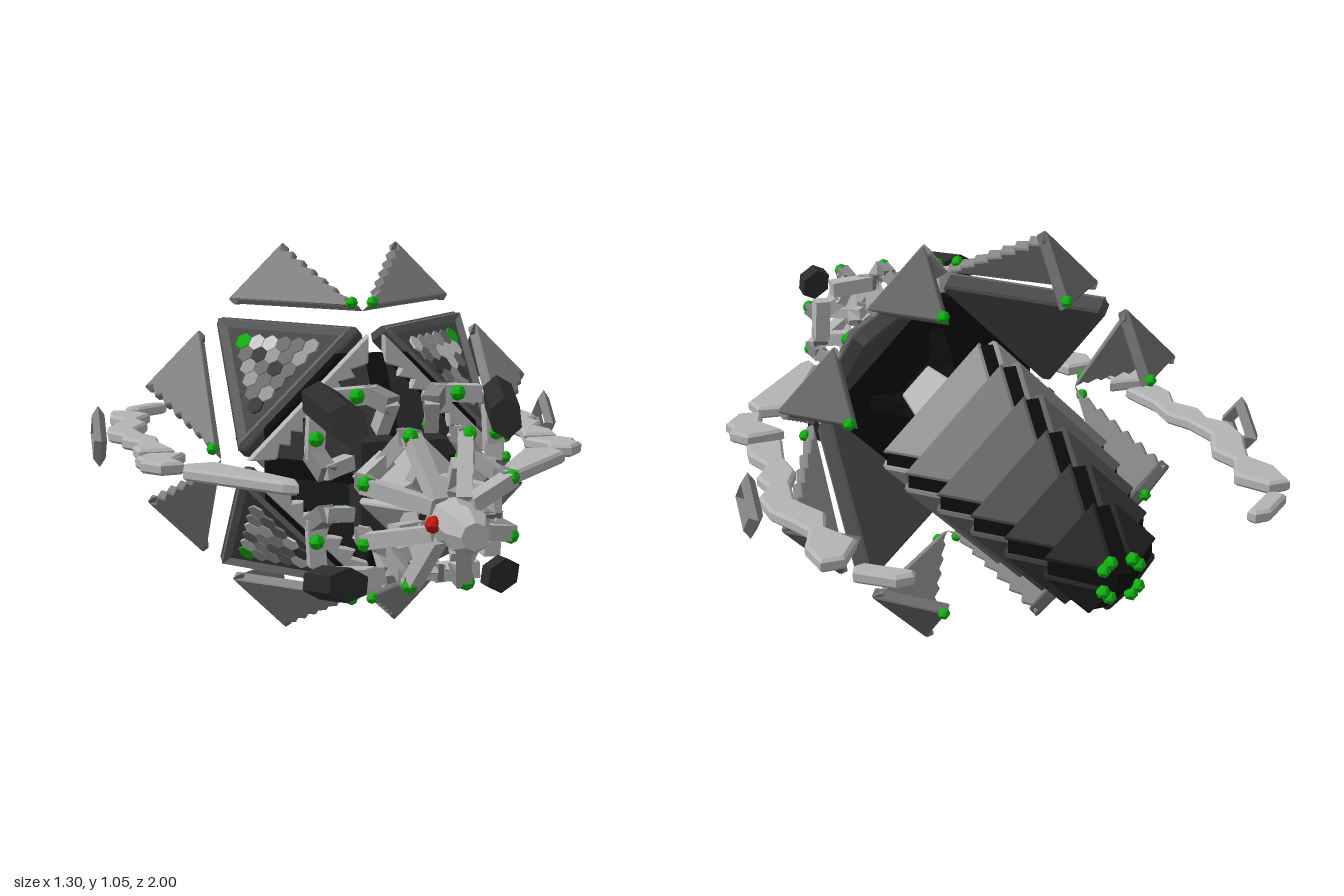
import * as THREE from 'three';

const LIGHT = 0xb4b4b4, MID = 0x858585, GREY = 0x666666, DARK = 0x2c2c2c, BLACK = 0x0c0c0c;
const GREEN = 0x10b010, BLUE = 0x10109a, RED = 0xc01515;
const V = (p) => new THREE.Vector3(...p);

export function createModel() {
  const model = new THREE.Group();
  const body = new THREE.Group();
  body.name = 'body';
  body.position.y = 0.53;
  model.add(body);

  const cache = {};
  const mat = (color) => (cache[color] ??= new THREE.MeshStandardMaterial({ color, flatShading: true, side: THREE.DoubleSide }));
  function add(name, geometry, color) {
    const m = new THREE.Mesh(geometry, mat(color));
    m.name = name;
    body.add(m);
    return m;
  }
  const box = (name, size, pos, color) => add(name, new THREE.BoxGeometry(...size), color).position.set(...pos);
  const bead = (name, p, r, color) => add(name, new THREE.OctahedronGeometry(r, 1), color).position.set(...p);

  // Bevelled slab from a flat polygon in space, thickened inward (or about its middle)
  function slab(name, pts, t, color, { bevel = 0.006, centred = false } = {}) {
    const p = pts.map(V), n = new THREE.Vector3(), c = new THREE.Vector3();
    p.forEach((a, i) => {
      n.add(new THREE.Vector3().crossVectors(a, p[(i + 1) % p.length]));
      c.addScaledVector(a, 1 / p.length);
    });
    n.normalize();
    if (n.x * c.x + n.y * c.y < 0) n.negate();
    const u = p[1].clone().sub(p[0]);
    u.addScaledVector(n, -u.dot(n)).normalize();
    const w = new THREE.Vector3().crossVectors(n, u);
    const shape = new THREE.Shape(p.map((a) => {
      const d = a.clone().sub(c);
      return new THREE.Vector2(d.dot(u), d.dot(w));
    }));
    const g = new THREE.ExtrudeGeometry(shape, {
      depth: t - 2 * bevel, bevelEnabled: true, bevelSize: bevel, bevelThickness: bevel, bevelOffset: -bevel, bevelSegments: 1,
    });
    g.translate(0, 0, bevel - (centred ? t / 2 : t));
    g.applyMatrix4(new THREE.Matrix4().makeBasis(u, w, n).setPosition(c));
    add(name, g, color);
  }

  // Square bar between two points
  function bar(name, a, b, w, color) {
    const A = V(a), B = V(b);
    const m = add(name, new THREE.BoxGeometry(w, w, A.distanceTo(B) + w * 0.5), color);
    m.position.copy(A).lerp(B, 0.5);
    m.quaternion.setFromRotationMatrix(new THREE.Matrix4().lookAt(B, A, new THREE.Vector3(0, 1, 0)));
  }

  // Stepped edge from a to b, cut toward c
  function steps(a, b, c, n, depth) {
    const A = V(a), B = V(b), C = V(c), out = [];
    for (let i = 0; i < n; i++) {
      const q = A.clone().lerp(B, i / n), e = A.clone().lerp(B, (i + 0.6) / n);
      const inward = C.clone().sub(e).setLength(depth);
      out.push(q.toArray(), e.clone().add(inward).toArray());
    }
    out.push(b);
    return out;
  }

  let seed = 7;
  const rand = () => (seed = (seed * 16807) % 2147483647) / 2147483647;

  // Tail rows: [front z, reach from the axis]
  const rows = [[-0.235, 0.27], [-0.375, 0.265], [-0.51, 0.235], [-0.64, 0.205], [-0.765, 0.175], [-0.885, 0.135]];
  const rowColors = [0x999999, 0x7c7c7c, 0x666666, 0x505050, 0x383838, 0x262626];
  const nextZ = (i) => (i < rows.length - 1 ? rows[i + 1][0] : -1);

  for (const sx of [1, -1]) for (const sy of [1, -1]) {
    const q = (p) => [p[0] * sx, p[1] * sy, p[2]];
    const qs = (l) => l.map(q);

    // Triangular armour panel with hexagonal tiles and a raised rim
    const [p1, p2, p3] = qs([[0.02, 0.335, 0.115], [0.335, 0.02, 0.115], [0.335, 0.335, -0.235]]).map(V);
    const n = p2.clone().sub(p1).cross(p3.clone().sub(p1)).normalize();
    if (n.z < 0) n.negate();
    const u = p2.clone().sub(p1).normalize(), w = u.clone().cross(n);
    const mid = p1.clone().add(p2).add(p3).divideScalar(3);
    const cut = [];
    [p1, p2, p3].forEach((p, i, l) => {
      const next = l[(i + 1) % 3];
      cut.push(p.clone().lerp(l[(i + 2) % 3], 0.05).toArray(), p.clone().lerp(next, 0.05).toArray());
      const [a, b] = [p, next].map((v) => v.clone().lerp(mid, 0.14).addScaledVector(n, -0.006).toArray());
      bar('panelRim', a, b, 0.026, GREY);
    });
    slab('armourPanel', cut, 0.045, 0x484848);
    const N = 11;
    for (let i = 2; i < N - 3; i++) for (let j = 2; i + j <= N - 2; j++) {
      const k = N - i - j;
      const shade = [0x3c3c3c, 0x707070, 0x9a9a9a, 0xc4c4c4][Math.floor(rand() * 4)];
      const tile = add('hexTile', new THREE.CylinderGeometry(0.0235, 0.0235, 0.01, 6), k === N - 4 ? GREEN : shade);
      tile.quaternion.setFromRotationMatrix(new THREE.Matrix4().makeBasis(u, n, w));
      tile.position.set(0, 0, 0).addScaledVector(p1, i / N).addScaledVector(p2, j / N).addScaledVector(p3, k / N).addScaledVector(n, 0.001);
    }

    // Dark collar faces behind the neck, with toothed light strips
    slab('collarFace', qs([[0.02, 0.27, 0.15], [0.27, 0.02, 0.15], [0.11, 0.02, 0.3], [0.02, 0.11, 0.3]]), 0.03, DARK);
    const strip = [...steps([0.02, 0.25, 0.167], [0.25, 0.02, 0.167], [0.3, 0.3, 0.167], 7, 0.025), [0.32, 0.02, 0.167], [0.02, 0.32, 0.167]];
    slab('toothedStrip', qs(strip), 0.034, LIGHT, { bevel: 0.004, centred: true });

    // Neck block and small snout plate
    box('neckBlock', [0.09, 0.09, 0.12], q([0.06, 0.06, 0.395]), DARK);
    slab('snoutPlate', qs([[0.02, 0.13, 0.53], [0.13, 0.02, 0.53], [0.03, 0.02, 0.64], [0.02, 0.03, 0.64]]), 0.02, LIGHT, { bevel: 0.004 });

    // Dark jaw block, leaning toward the head
    const jaw = new THREE.CylinderGeometry(0.045, 0.045, 0.15, 6);
    jaw.rotateX(Math.PI / 2);
    const jp = jaw.attributes.position;
    for (let i = 0; i < jp.count; i++) {
      const x = jp.getX(i), y = jp.getY(i), z = jp.getZ(i), lean = -0.2 * z;
      jp.setXYZ(i, (x + 0.195 + lean) * sx, (y + 0.195 + lean) * sy, z + 0.57 - 0.35 * (x + y));
    }
    add('jawBlock', jaw, DARK);

    // Light inner wall ahead of the tail
    slab('innerWall', qs([[0.09, 0.18, -0.23], [0.18, 0.09, -0.23], [0.17, 0.1, -0.09], [0.1, 0.17, -0.09]]), 0.025, LIGHT);

    // Overlapping tail plates, with green teeth where each meets the next
    rows.forEach(([z, r], i) => {
      const h = Math.min(r - 0.03, 0.15, z + 1), d = Math.max(r - (z - nextZ(i)) + 0.015, 0.04);
      slab('tailPlate', qs([[0.022, r, z], [r, 0.022, z], [r - h, 0.022, z - h], [0.022, r - h, z - h]]), 0.028, rowColors[i]);
      for (let k = 0; k <= 6; k++) {
        const x = 0.025 + (d - 0.025) * (k / 6);
        bead('tailTooth', q([x, d + 0.025 - x, nextZ(i) + 0.016]), k % 6 ? 0.009 : 0.016, GREEN);
      }
    });

    // Parts that also repeat across the diagonal of each quarter
    for (const swap of [false, true]) {
      const s = (p) => q(swap ? [p[1], p[0], p[2]] : p);
      const ss = (l) => l.map(s);

      // Floating fin: stepped front triangle folded onto a small back triangle
      const A = [0.38, 0.015, 0.05], B = [0.38, 0.30, -0.22], P = [0.525, 0.155, -0.22], C = [0.38, 0.155, -0.365];
      slab('finFront', ss([...steps(A, P, B, 7, 0.016), B]), 0.03, MID, { bevel: 0.004 });
      slab('finBack', ss([B, P, C]), 0.03, GREY, { bevel: 0.004 });
      bead('finTip', s([0.386, 0.027, 0.033]), 0.016, GREEN);
      bead('finTip', s([0.386, 0.155, -0.35]), 0.016, GREEN);

      // Front mandible and its hook
      const j = [[0.045, 0.03, 0.82], [0.16, 0.06, 0.73], [0.155, 0.06, 0.67], [0.1, 0.1, 0.65]];
      for (let k = 0; k < 3; k++) bar('mandible', s(j[k]), s(j[k + 1]), 0.034, k % 2 ? MID : LIGHT);
      bar('innerMandible', s([0.03, 0.05, 0.67]), s([0.1, 0.04, 0.74]), 0.03, LIGHT);
      bead('mandibleTip', s([0.165, 0.065, 0.735]), 0.019, GREEN);

      // Rear hook beside the jaw block
      bar('jawHook', s([0.2, 0.05, 0.5]), s([0.215, 0.08, 0.45]), 0.04, MID);
      bar('jawHook', s([0.215, 0.08, 0.45]), s([0.21, 0.17, 0.45]), 0.04, LIGHT);
      bar('jawHook', s([0.2, 0.05, 0.5]), s([0.14, 0.06, 0.46]), 0.034, LIGHT);
      bead('hookTip', s([0.215, 0.12, 0.473]), 0.019, GREEN);
      bead('hookTip', s([0.14, 0.06, 0.445]), 0.019, GREEN);
    }
  }

  // Black backing plate: square with cut corners, and the core behind it
  const e = 0.27, f = 0.09, z0 = 0.13;
  slab('backingPlate', [[e, f, z0], [f, e, z0], [-f, e, z0], [-e, f, z0], [-e, -f, z0], [-f, -e, z0], [f, -e, z0], [e, -f, z0]], 0.035, BLACK, { centred: true });
  const core = new THREE.CylinderGeometry(0.12, 0.12, 0.36, 4);
  core.rotateX(Math.PI / 2);
  add('core', core, BLACK).position.z = -0.06;

  // Black spine: four saw-edged fins running to the tail, and ridges on the collar
  const saw = [[0, 0.13], [0.2, 0.13], [0.08, 0]];
  rows.forEach(([z, r], i) => {
    saw.push([r - 0.012, z], [Math.max(r - 0.012 - (z - nextZ(i)), 0.015), nextZ(i)]);
  });
  saw.push([0, -1]);
  for (const [dx, dy] of [[1, 0], [-1, 0], [0, 1], [0, -1]]) {
    slab('spineFin', saw.map(([r, z]) => [dx * r, dy * r, z]), 0.042, BLACK, { bevel: 0.003, centred: true });
    bar('collarRidge', [dx * 0.25, dy * 0.25, 0.155], [dx * 0.09, dy * 0.09, 0.29], 0.045, BLACK);
  }

  // Blue core rod with a wider joint
  box('coreRod', [0.032, 0.032, 0.5], [0, 0, 0.37], BLUE);
  box('coreJoint', [0.09, 0.035, 0.045], [0, 0, 0.315], BLUE);
  box('coreJoint', [0.035, 0.09, 0.045], [0, 0, 0.315], BLUE);

  // Faceted head with red eyes
  const profile = [[0, 0.8], [0.04, 0.8], [0.054, 0.85], [0.044, 0.89], [0.05, 0.91], [0.05, 0.95], [0.03, 0.995], [0, 0.995]];
  const head = new THREE.LatheGeometry(profile.map((p) => new THREE.Vector2(...p)), 8);
  head.rotateX(Math.PI / 2);
  add('head', head, LIGHT);

  // Side arms: jagged flat segments [x, z], eyes and diamond rings, mirrored
  const arms = [
    [[0.245, 0.4], [0.25, 0.445], [0.285, 0.43], [0.485, 0.21], [0.475, 0.15], [0.395, 0.14], [0.38, 0.17], [0.3, 0.3]],
    [[0.45, -0.005], [0.545, -0.015], [0.58, 0.03], [0.565, 0.06], [0.575, 0.09], [0.53, 0.14], [0.47, 0.13], [0.49, 0.07]],
    [[0.47, -0.06], [0.56, -0.06], [0.57, -0.12], [0.545, -0.19], [0.585, -0.25], [0.575, -0.31], [0.61, -0.36], [0.605, -0.44], [0.575, -0.5], [0.55, -0.56],
      [0.58, -0.63], [0.57, -0.715], [0.515, -0.715], [0.465, -0.64], [0.51, -0.56], [0.49, -0.49], [0.535, -0.4], [0.52, -0.31], [0.49, -0.25], [0.495, -0.17]],
    [[0.395, -0.82], [0.405, -0.84], [0.445, -0.84], [0.52, -0.78], [0.51, -0.755], [0.485, -0.75]],
  ];
  for (const sx of [1, -1]) {
    bead('eye', [0.05 * sx, 0, 0.865], 0.02, RED);
    for (const seg of arms) slab('armSegment', seg.map(([x, z]) => [x * sx, 0, z]), 0.032, LIGHT, { bevel: 0.007, centred: true });
    const ring = new THREE.TorusGeometry(0.06, 0.024, 4, 4);
    ring.rotateY(Math.PI / 2);
    ring.scale(0.7, 1, 1);
    add('armRing', ring, MID).position.set(0.635 * sx, 0, -0.37);
  }
  return model;
}
